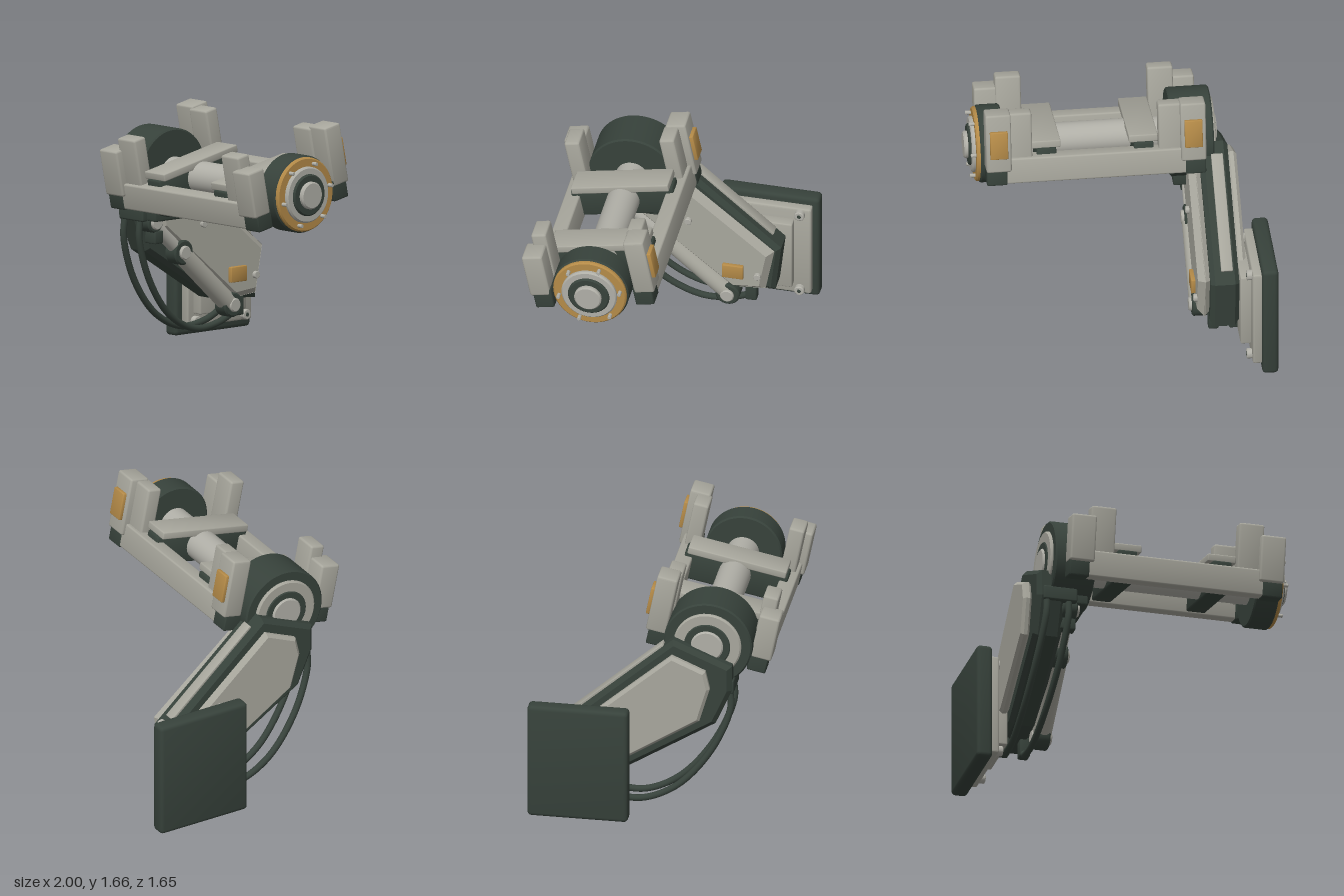
import * as THREE from 'three';
import { RoundedBoxGeometry } from 'three/addons/geometries/RoundedBoxGeometry.js';
import { toCreasedNormals } from 'three/addons/utils/BufferGeometryUtils.js';

const material = (name, color) => {
  const m = new THREE.MeshStandardMaterial({ color });
  m.name = name;
  return m;
};

export function createModel() {
  const grey = material('warm grey', 0xa8a79d);
  const dark = material('dark green', 0x37423b);
  const metal = material('light metal', 0xb0afa7);
  const orange = material('ochre', 0xb58b48);
  const model = new THREE.Group();
  model.name = 'cradleArm';

  const add = (parent, name, geo, mat) => {
    const mesh = new THREE.Mesh(geo, mat);
    mesh.name = name;
    parent.add(mesh);
    return mesh;
  };
  // Box given by its limits on each axis
  const box = (parent, name, mat, [x0, x1], [y0, y1], [z0, z1], r = 0.012) => {
    const mesh = add(parent, name, toCreasedNormals(
      new RoundedBoxGeometry(x1 - x0, y1 - y0, z1 - z0, 2, r), 0.6), mat);
    mesh.position.set((x0 + x1) / 2, (y0 + y1) / 2, (z0 + z1) / 2);
    return mesh;
  };
  // Disc with chamfered rims, lying along x
  const disc = (parent, name, mat, x0, x1, r, y, z, sides = 48) => {
    const c = Math.min(0.01, r * 0.15, (x1 - x0) * 0.3), h = x1 - x0;
    const profile = [[0, 0], [r - c, 0], [r, c], [r, h - c], [r - c, h], [0, h]];
    const geo = new THREE.LatheGeometry(profile.map(p => new THREE.Vector2(...p)), sides);
    const mesh = add(parent, name, toCreasedNormals(geo.rotateZ(-Math.PI / 2), 0.5), mat);
    mesh.position.set(x0, y, z);
    return mesh;
  };
  // Outline of [z, y] points extruded along x with a bevel that stays inside it
  const plate = (name, mat, points, x0, x1, bevel, depth = bevel) => {
    const shape = new THREE.Shape(points.map(([z, y]) => new THREE.Vector2(-z, y)));
    const geo = new THREE.ExtrudeGeometry(shape, {
      depth: x1 - x0 - 2 * depth, bevelSize: bevel, bevelThickness: depth,
      bevelOffset: -bevel, bevelSegments: 1,
    });
    geo.translate(0, 0, depth).rotateY(Math.PI / 2);
    add(model, name, geo, mat).position.x = x0;
  };
  // Straight rod between two points
  const rod = (name, mat, a, b, r) => {
    const from = new THREE.Vector3(...a), dir = new THREE.Vector3(...b).sub(from);
    const mesh = add(model, name, new THREE.CylinderGeometry(r, r, dir.length(), 32), mat);
    mesh.position.copy(from).addScaledVector(dir, 0.5);
    mesh.quaternion.setFromUnitVectors(new THREE.Vector3(0, 1, 0), dir.normalize());
  };

  // Wall mount
  box(model, 'mountPlate', dark, [-1, -0.89], [0, 0.82], [-0.82, -0.135], 0.028);
  box(model, 'mountFace', grey, [-0.9, -0.83], [0.06, 0.77], [-0.775, -0.19], 0.015);
  box(model, 'mountPad', grey, [-0.84, -0.76], [0.15, 0.68], [-0.66, -0.24], 0.01);
  for (const y of [0.1, 0.73]) for (const z of [-0.7, -0.25]) {
    disc(model, 'mountBolt', metal, -0.84, -0.795, 0.035, y, z, 24);
    disc(model, 'mountBoltSocket', dark, -0.8, -0.792, 0.015, y, z, 6);
  }

  // Arm link with its covers
  plate('armBody', dark, [[0.13, 1.27], [-0.624, 0.608], [-0.584, 0.254],
    [-0.2, 0.285], [0.42, 0.67], [0.53, 0.92], [0.53, 1.1]], -0.76, -0.565, 0.03);
  plate('armCoverInner', grey, [[0.12, 1.21], [-0.59, 0.617], [-0.53, 0.3],
    [-0.3, 0.28], [0.36, 0.82], [0.4, 1.0]], -0.58, -0.485, 0.045, 0.05);
  plate('armCoverOuter', grey, [[0.13, 1.18], [-0.55, 0.59], [-0.52, 0.36],
    [-0.2, 0.38], [0.32, 0.71], [0.39, 0.95], [0.36, 1.08]], -0.82, -0.755, 0.02);
  const strip = box(model, 'armEdgeStrip', grey, [-0.72, -0.64], [0.935, 0.955], [-0.66, 0.16], 0.006);
  strip.rotation.x = -0.72;
  box(model, 'armLabel', orange, [-0.49, -0.457], [0.4, 0.505], [-0.39, -0.245], 0.006);
  for (const [y, z] of [[0.43, -0.485], [0.825, -0.01]])
    disc(model, 'armBolt', metal, -0.5, -0.46, 0.025, y, z, 20);

  // Actuator
  const X = -0.52, top = [X, 0.878, 0.43], mid = [X, 0.648, 0.172], low = [X, 0.246, -0.279];
  rod('actuatorRod', metal, top, mid, 0.045);
  rod('actuatorTube', grey, mid, low, 0.066);
  for (const [[, y, z], r] of [[top, 0.07], [mid, 0.085], [low, 0.083]]) {
    disc(model, 'actuatorPivot', dark, -0.58, -0.47, r, y, z, 32);
    disc(model, 'actuatorPin', metal, -0.59, -0.45, 0.047, y, z, 24);
  }
  box(model, 'actuatorClevis', dark, [-0.58, -0.47], [0.73, 0.82], [0.36, 0.44]);

  // Shoulder joint
  const JY = 1.22, JZ = 0.354;
  disc(model, 'shoulderDrum', dark, -0.665, -0.38, 0.3, JY, JZ, 64);
  disc(model, 'shoulderRing', grey, -0.685, -0.65, 0.23, JY, JZ);
  disc(model, 'shoulderDarkRing', dark, -0.692, -0.65, 0.16, JY, JZ);
  disc(model, 'shoulderHub', metal, -0.705, -0.65, 0.11, JY, JZ);
  box(model, 'shoulderBracket', dark, [-0.6, -0.4], [0.895, 1.02], [0.18, 0.5]);
  box(model, 'hoseBracket', dark, [-0.72, -0.485], [0.89, 0.99], [0.44, 0.54]);

  // Cross shaft and far bearing
  disc(model, 'crossShaft', metal, -0.4, 0.78, 0.11, JY, JZ, 40);
  disc(model, 'bearingDrum', dark, 0.745, 0.907, 0.262, JY, JZ, 64);
  disc(model, 'bearingRing', orange, 0.89, 0.932, 0.252, JY, JZ, 64);
  disc(model, 'bearingCollar', metal, 0.92, 0.957, 0.19, JY, JZ);
  disc(model, 'bearingDarkRing', dark, 0.94, 0.972, 0.142, JY, JZ);
  disc(model, 'bearingHub', metal, 0.95, 1.0, 0.093, JY, JZ);
  for (let i = 0; i < 6; i++) {
    const a = (12 + 60 * i) * Math.PI / 180;
    disc(model, 'bearingBolt', metal, 0.92, 0.97, 0.013,
      JY + 0.214 * Math.sin(a), JZ - 0.214 * Math.cos(a), 12);
  }

  // Tilted cradle frame, built around the shaft axis
  const cradle = new THREE.Group();
  cradle.name = 'cradle';
  cradle.position.set(0.145, JY, JZ);
  cradle.rotation.x = 0.2;
  model.add(cradle);
  const span = (s, a, b) => (s > 0 ? [a, b] : [-b, -a]);
  for (const front of [1, -1]) {
    box(cradle, 'rail', grey, [-0.66, 0.66], [-0.14, 0.04], span(front, 0.3, 0.41));
    for (const side of [1, -1]) {
      box(cradle, 'railEnd', dark, span(side, 0.6, 0.74), [-0.147, 0], span(front, 0.285, 0.415));
      box(cradle, 'outerPost', grey, span(side, 0.572, 0.743),
        [-0.045, front > 0 ? 0.275 : 0.368], span(front, 0.293, 0.435), 0.015);
      box(cradle, 'innerPost', grey, span(side, 0.427, 0.6),
        [-0.03, 0.355], span(front, 0.28, 0.385), 0.015);
      if (front < 0)
        box(cradle, 'postPanel', orange, span(side, 0.597, 0.717), [0.06, 0.255], [-0.46, -0.425], 0.006);
    }
  }
  for (const side of [1, -1]) {
    box(cradle, 'supportSlab', grey, span(side, 0.23, 0.426), [0.075, 0.127], [-0.34, 0.34], 0.008);
    box(cradle, 'supportBeam', dark, span(side, 0.262, 0.394), [-0.125, 0.08], [-0.357, 0.357]);
  }

  // Hanging hoses
  const drop = [[0.92, 0.51], [0.77, 0.515], [0.46, 0.385], [0.2, 0.16], [0.09, -0.08], [0.11, -0.28], [0.19, -0.43]];
  for (const xs of [[-0.69, -0.7, -0.74, -0.77, -0.775, -0.765, -0.74],
    [-0.54, -0.545, -0.58, -0.62, -0.635, -0.63, -0.6]]) {
    const path = new THREE.CatmullRomCurve3(drop.map(([y, z], i) => new THREE.Vector3(xs[i], y, z)));
    add(model, 'hose', new THREE.TubeGeometry(path, 64, 0.023, 12), dark);
    box(model, 'hoseFitting', dark, [xs[6] - 0.035, xs[6] + 0.035], [0.15, 0.29], [-0.46, -0.38]);
  }
  return model;
}
